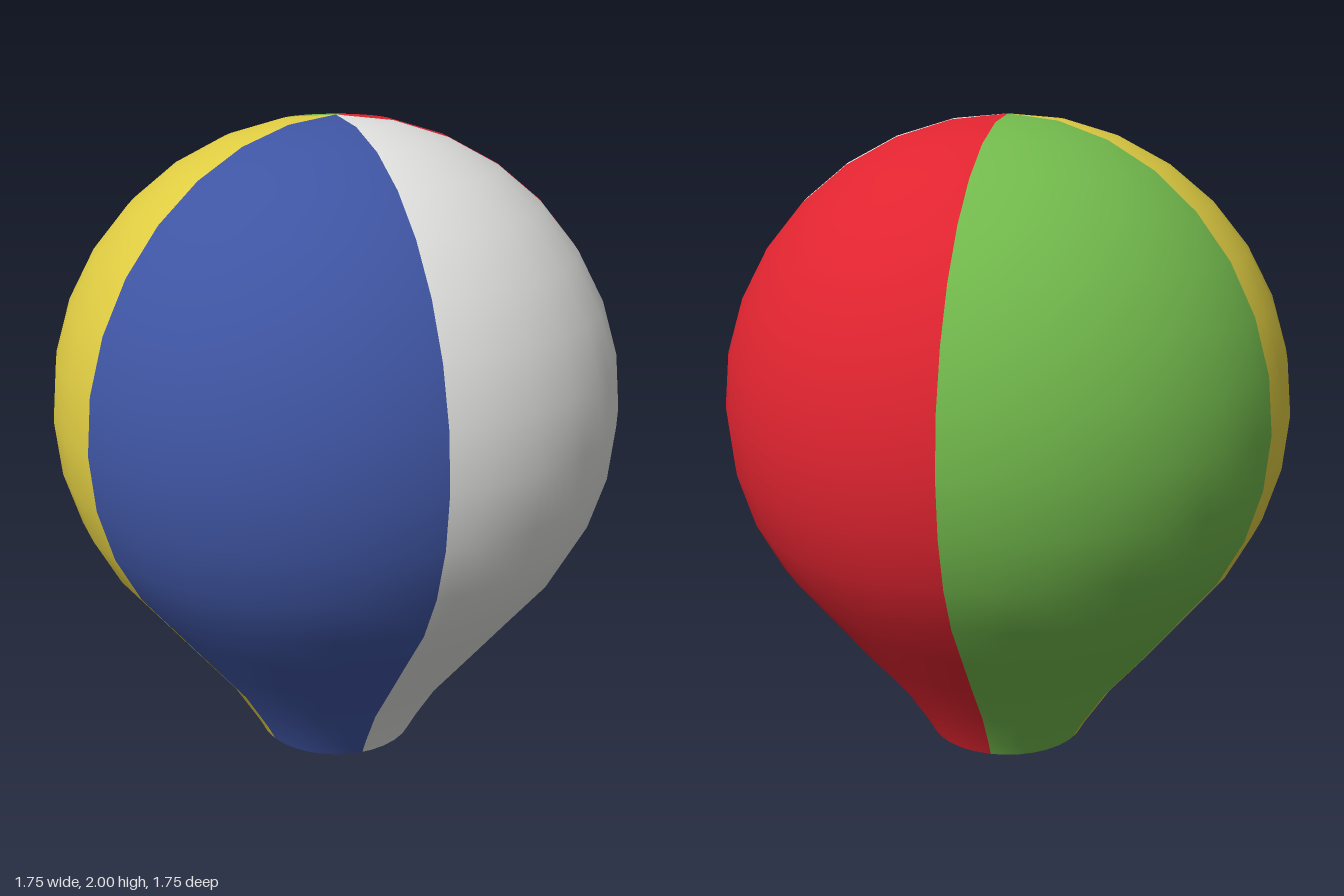
import * as THREE from 'three';

const SIDES = 32; // facets around the envelope
const STEP = (Math.PI * 2) / SIDES;

// Envelope outline from the open mouth up to the crown
function outline() {
  const points = [
    [0.253, 0], [0.28, 0.05], [0.365, 0.185], [0.495, 0.344], [0.61, 0.49],
  ].map(([r, y]) => new THREE.Vector2(r, y));
  for (let i = -3; i <= 8; i++) {
    const a = i * STEP;
    points.push(new THREE.Vector2(i === 8 ? 0 : 0.876 * Math.cos(a), 1.125 + 0.875 * Math.sin(a)));
  }
  return points;
}

// One coloured gore: a fifth of the lathe, flattened onto the 32 facets
function goreGeometry(start) {
  const geometry = new THREE.LatheGeometry(outline(), 32, start, (Math.PI * 2) / 5);
  const pos = geometry.attributes.position;
  const normal = geometry.attributes.normal;
  for (let i = 0; i < pos.count; i++) {
    const x = pos.getX(i), y = pos.getY(i), z = pos.getZ(i);
    const phi = Math.atan2(x, z) + Math.PI * 2 + 1e-6;
    const k = Math.cos(STEP / 2) / Math.cos((phi % STEP) - STEP / 2);
    // The mouth hangs slightly off centre
    const sag = Math.max(0, 1 - y / 0.3);
    pos.setXYZ(i, x * k - 0.011 * sag, y, z * k + 0.015 * sag);
    if (y > 1.999) normal.setXYZ(i, 0, 1, 0);
  }
  return geometry;
}

export function createModel() {
  const model = new THREE.Group();
  model.name = 'balloonEnvelope';

  // Gores in order around the balloon, starting at the front left seam
  const gores = [
    ['red', 0xe02430], ['green', 0x72b94c], ['yellow', 0xdfcc42],
    ['blue', 0x3f55a3], ['white', 0xe0e0de],
  ];
  gores.forEach(([name, color], i) => {
    const material = new THREE.MeshStandardMaterial({ color, side: THREE.DoubleSide });
    material.name = name;
    const start = THREE.MathUtils.degToRad(54 + 72 * i);
    const gore = new THREE.Mesh(goreGeometry(start), material);
    gore.name = name + 'Gore';
    model.add(gore);
  });
  return model;
}
